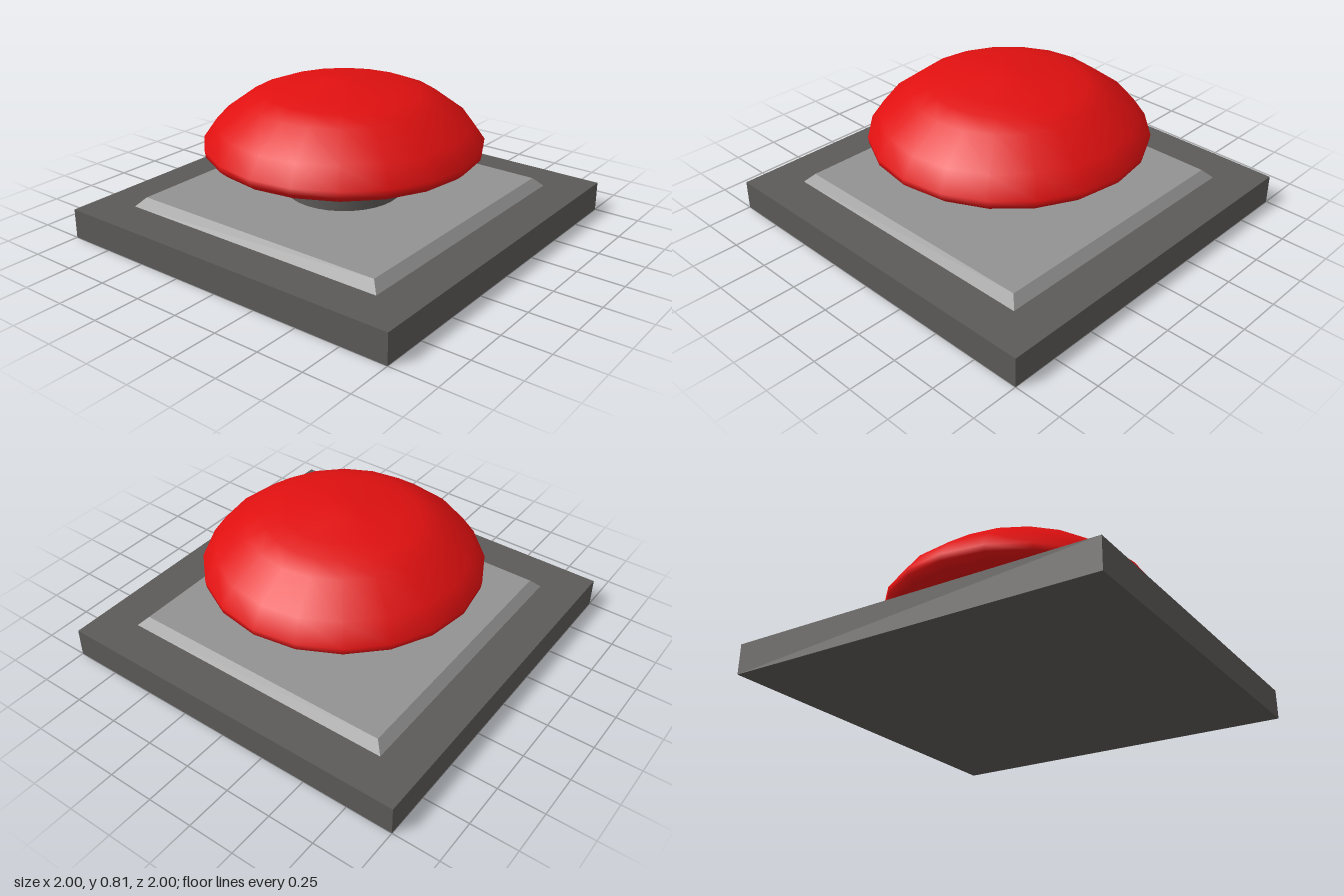
import * as THREE from 'three';

const charcoal = new THREE.MeshStandardMaterial({ color: 0x5c5a58 });
charcoal.name = 'charcoal';
const grey = new THREE.MeshStandardMaterial({ color: 0x929292 });
grey.name = 'light grey';
const red = new THREE.MeshStandardMaterial({ color: 0xe01010 });
red.name = 'red';

export function createModel() {
  const model = new THREE.Group();
  model.name = 'pushButton';

  const add = (name, geometry, material, y = 0) => {
    const mesh = new THREE.Mesh(geometry, material);
    mesh.name = name;
    mesh.position.y = y;
    model.add(mesh);
  };

  // Square base slab
  add('base', new THREE.BoxGeometry(2, 0.16, 2), charcoal, 0.08);

  // Raised plate with sloping edges: a four-sided frustum with flat faces
  const plate = new THREE.CylinderGeometry(0.735 * Math.SQRT2, 0.783 * Math.SQRT2, 0.05, 4)
    .rotateY(Math.PI / 4)
    .toNonIndexed();
  plate.computeVertexNormals();
  add('plate', plate, grey, 0.183);

  // Round stem
  add('stem', new THREE.CylinderGeometry(0.308, 0.308, 0.23, 32), charcoal, 0.315);

  // Mushroom cap: rounded rim and shallow dome, turned in 20 steps
  const profile = [
    [0.63, 0.418], [0.695, 0.43], [0.73, 0.46], [0.735, 0.495], [0.665, 0.595],
    [0.5, 0.718], [0.405, 0.755], [0.3, 0.777], [0.08, 0.812], [0, 0.812],
  ].map(([r, y]) => new THREE.Vector2(r, y));
  add('cap', new THREE.LatheGeometry(profile, 20), red);

  // Flat underside of the cap
  add('capUnderside', new THREE.CircleGeometry(0.63, 20).rotateX(Math.PI / 2), red, 0.418);

  return model;
}
